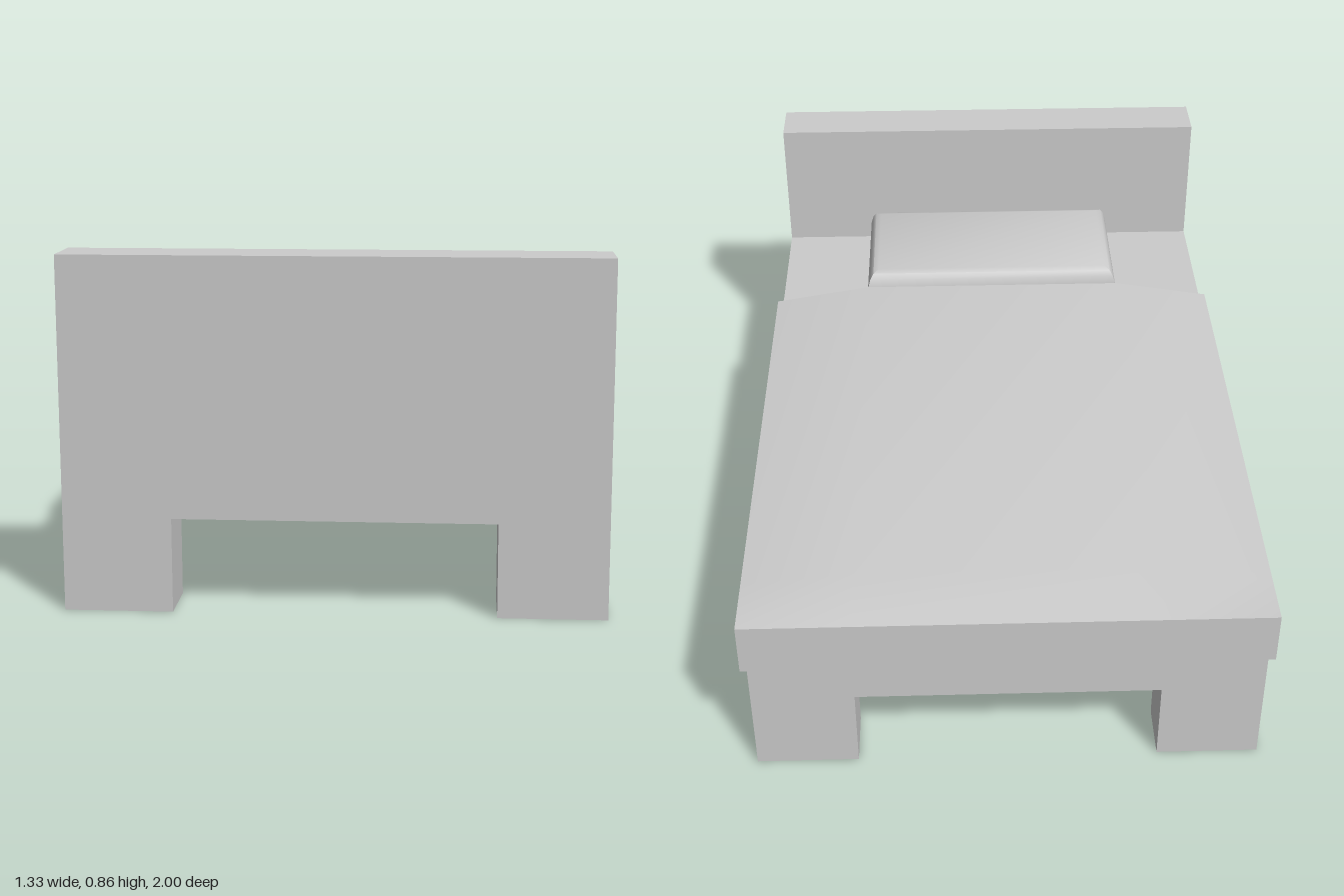
import * as THREE from 'three';
import { toCreasedNormals } from 'three/addons/utils/BufferGeometryUtils.js';

const W = 0.65, LEG_X = 0.388, LEG_Y = 0.23, DECK_Y = 0.475;
const material = new THREE.MeshStandardMaterial({ color: 0xcccccc });

function add(group, name, geometry) {
  const mesh = new THREE.Mesh(geometry, material);
  mesh.name = name;
  group.add(mesh);
}

// Board standing on two legs, with a cut-out between them
function leggedBoard(height, zBack, zFront) {
  const shape = new THREE.Shape([
    [-W, 0], [-LEG_X, 0], [-LEG_X, LEG_Y], [LEG_X, LEG_Y],
    [LEG_X, 0], [W, 0], [W, height], [-W, height],
  ].map(([x, y]) => new THREE.Vector2(x, y)));
  return new THREE.ExtrudeGeometry(shape, { depth: zFront - zBack, bevelEnabled: false })
    .translate(0, 0, zBack);
}

// Move every vertex of a unit box by a rule, then smooth the gentle edges
function shapedBox(segX, segY, segZ, rule, crease) {
  const geometry = new THREE.BoxGeometry(1, 1, 1, segX, segY, segZ);
  const p = geometry.attributes.position;
  for (let i = 0; i < p.count; i++) {
    // grid indices of the vertex
    const ix = Math.round((p.getX(i) + 0.5) * segX);
    const iy = Math.round((p.getY(i) + 0.5) * segY);
    const iz = Math.round((p.getZ(i) + 0.5) * segZ);
    p.setXYZ(i, ...rule(ix, iy, iz));
  }
  return toCreasedNormals(geometry, crease);
}

// Blanket: flat hanging sides, top raised along the middle and falling to the foot
function blanketGeometry() {
  const xs = [-0.665, -0.385, 0.385, 0.665];
  const zs = [-1, -0.84, 0.45];
  const middle = [0.488, 0.514, 0.535];
  return shapedBox(3, 1, 2, (ix, iy, iz) => {
    const top = ix === 0 || ix === 3 ? 0.488 : middle[iz];
    return [xs[ix], iy ? top : 0.345, zs[iz]];
  }, 0.7);
}

// Pillow: box whose upper edges curve inward
function pillowGeometry() {
  const rings = [[0, DECK_Y], [0, 0.53], [0.008, 0.557], [0.018, 0.573], [0.034, 0.58]];
  return shapedBox(1, 4, 1, (ix, iy, iz) => {
    const [inset, y] = rings[iy];
    return [(ix * 2 - 1) * (0.384 - inset), y, 0.653 + (iz * 2 - 1) * (0.204 - inset)];
  }, 0.9);
}

export function createModel() {
  const bed = new THREE.Group();
  bed.name = 'bed';

  add(bed, 'headboard', leggedBoard(0.86, 0.857, 1));
  add(bed, 'footEnd', leggedBoard(DECK_Y, -0.985, -0.842));

  // Solid frame between the two ends
  const height = DECK_Y - LEG_Y, length = 0.857 + 0.842;
  add(bed, 'frame', new THREE.BoxGeometry(W * 2, height, length)
    .translate(0, LEG_Y + height / 2, 0.857 - length / 2));

  add(bed, 'blanket', blanketGeometry());
  add(bed, 'pillow', pillowGeometry());
  return bed;
}
